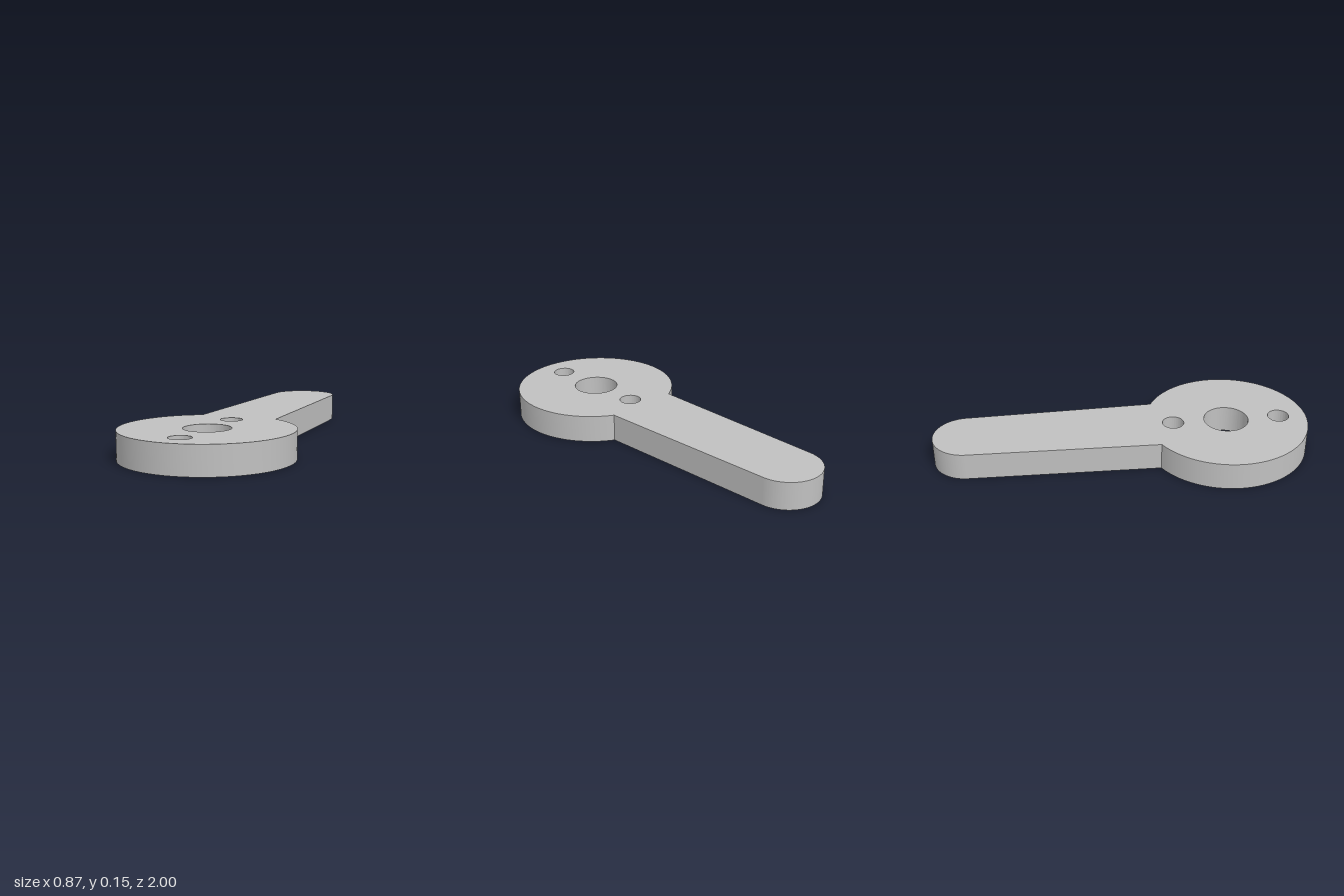
import * as THREE from 'three';
import { toCreasedNormals } from 'three/addons/utils/BufferGeometryUtils.js';

const THICKNESS = 0.147;
const DISC = { z: 0.565, r: 0.435 };
const TIP = { z: -0.82, r: 0.18 };
const ROOT_HALF_WIDTH = 0.205;
const HOLES = [
  { z: 0.275, r: 0.057 },
  { z: 0.563, r: 0.119 },
  { z: 0.851, r: 0.057 },
];

export function createModel() {
  const group = new THREE.Group();
  group.name = 'leverArm';

  const greyMetal = new THREE.MeshStandardMaterial({ color: 0xc0c0c0 });
  greyMetal.name = 'greyMetal';

  // Outline drawn from above, with shape y = -z: rounded tip, tapering sides, round hub
  const outline = new THREE.Shape();
  const a = Math.asin(ROOT_HALF_WIDTH / DISC.r);
  outline.absarc(0, -TIP.z, TIP.r, 0, Math.PI, false);
  outline.absarc(0, -DISC.z, DISC.r, Math.PI / 2 + a, Math.PI * 2.5 - a, false);

  // Shaft hole and the two small holes beside it
  for (const { z, r } of HOLES) {
    const hole = new THREE.Path();
    hole.absarc(0, -z, r, 0, Math.PI * 2, true);
    outline.holes.push(hole);
  }

  // Flat plate lying on the ground, smooth around its curves
  let geometry = new THREE.ExtrudeGeometry(outline, {
    depth: THICKNESS,
    bevelEnabled: false,
    curveSegments: 64,
  });
  geometry.rotateX(-Math.PI / 2);
  geometry = toCreasedNormals(geometry, Math.PI / 6);

  const plate = new THREE.Mesh(geometry, greyMetal);
  plate.name = 'leverPlate';
  group.add(plate);
  return group;
}
